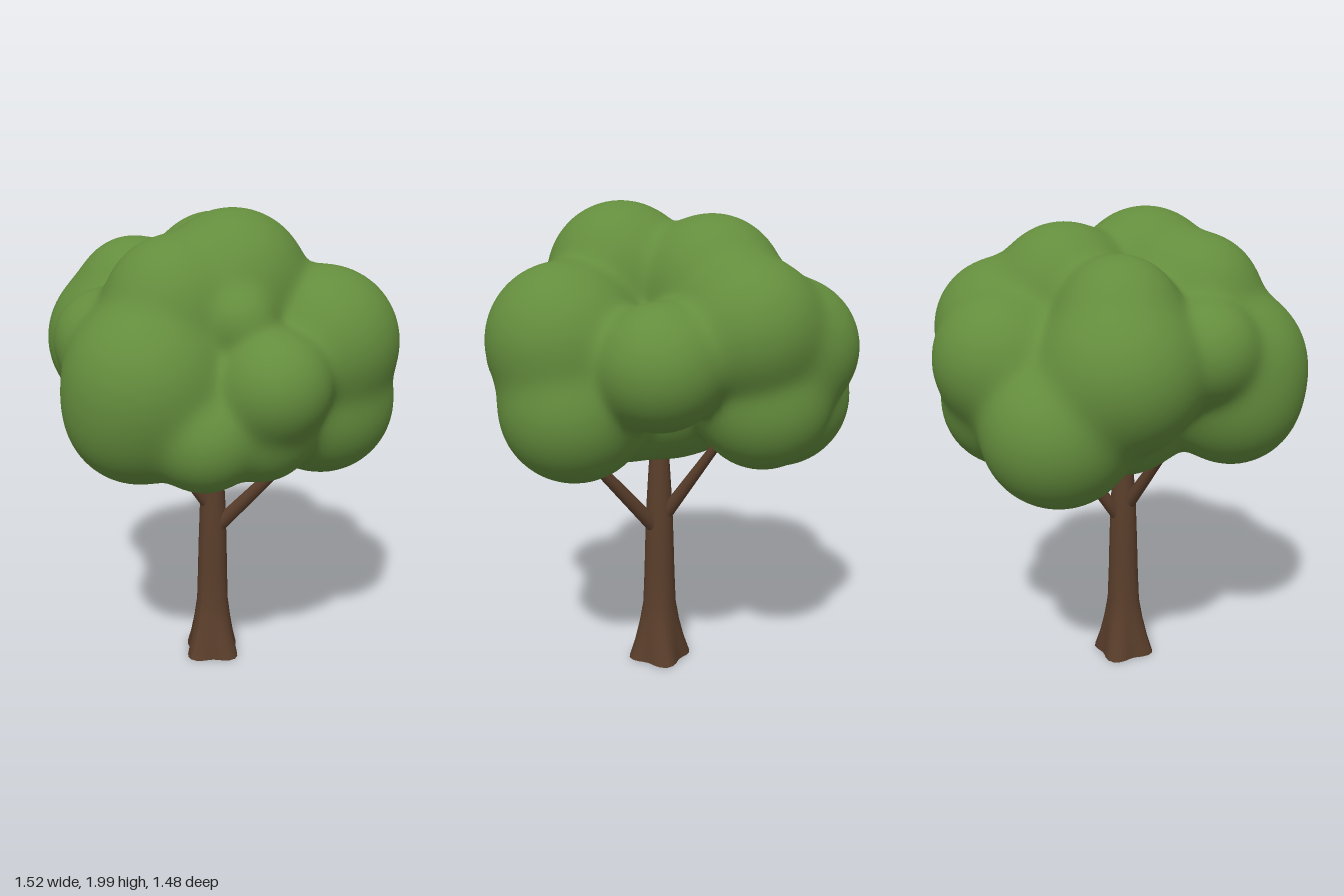
import * as THREE from 'three';
import { mergeVertices } from 'three/addons/utils/BufferGeometryUtils.js';

// Leaf clumps: x, y, z, radius
const CLUMPS = [
  // core and underside
  [0, 1.27, 0, 0.345],
  [-0.16, 1.19, 0.04, 0.24],
  [0.2, 1.18, -0.06, 0.24],
  // front
  [0.1, 1.37, 0.405, 0.325],
  [0.07, 1.25, 0.43, 0.285],
  [0.1, 1.63, 0.26, 0.275],
  [-0.17, 1.48, 0.38, 0.205],
  [0.33, 1.17, 0.34, 0.205],
  // top
  [0.18, 1.695, 0.02, 0.3],
  [-0.13, 1.665, -0.22, 0.285],
  // left-hand side of the front
  [-0.37, 1.42, 0.1, 0.325],
  [-0.32, 1.62, 0.08, 0.235],
  [-0.455, 1.195, -0.12, 0.305],
  // right-hand side of the front
  [0.455, 1.475, -0.21, 0.305],
  [0.43, 1.22, -0.25, 0.295],
  [0.515, 1.37, 0.16, 0.215],
  [0.42, 1.19, 0.12, 0.215],
  [0.38, 1.6, 0.2, 0.13],
  // back
  [-0.2, 1.53, -0.46, 0.28],
  [0.15, 1.41, -0.5, 0.24],
  [-0.4, 1.44, -0.37, 0.275],
  [-0.28, 1.24, -0.42, 0.265],
].map(([x, y, z, r]) => ({ c: new THREE.Vector3(x, y, z), r }));

// Softly blended distance to all the clumps
function canopyDistance(p) {
  const k = 0.026;
  let sum = 0;
  for (const { c, r } of CLUMPS) sum += Math.exp(-(p.distanceTo(c) - r) / k);
  return -k * Math.log(sum + 1e-300);
}

// Shrink a fine ball inwards until it meets the blended clumps
function canopyGeometry() {
  let g = new THREE.IcosahedronGeometry(1, 38);
  g.deleteAttribute('uv');
  g.deleteAttribute('normal');
  g = mergeVertices(g, 1e-5);
  const pos = g.attributes.position;
  const centre = new THREE.Vector3(0, 1.4, 0);
  const dir = new THREE.Vector3(), p = new THREE.Vector3();
  for (let i = 0; i < pos.count; i++) {
    dir.fromBufferAttribute(pos, i).normalize();
    let t = 1.1;
    for (let n = 0; n < 60; n++) {
      const d = canopyDistance(p.copy(centre).addScaledVector(dir, t));
      t = Math.max(t - d * 0.9, 0.1);
      if (Math.abs(d) < 0.0005) break;
    }
    p.copy(centre).addScaledVector(dir, t);
    pos.setXYZ(i, p.x, p.y, p.z);
  }
  g.computeVertexNormals();
  return g;
}

// Trunk flaring into four roots, open underneath
function trunkGeometry() {
  const profile = [
    [0.121, 0], [0.103, 0.08], [0.085, 0.17], [0.071, 0.26], [0.066, 0.4],
    [0.062, 0.55], [0.057, 0.7], [0.048, 0.85], [0.038, 1], [0.03, 1.15],
  ].map(([r, y]) => new THREE.Vector2(r, y));
  const g = new THREE.LatheGeometry(profile, 32);
  const pos = g.attributes.position;
  for (let i = 0; i < pos.count; i++) {
    const x = pos.getX(i), y = pos.getY(i), z = pos.getZ(i);
    const s = 1 + 0.15 * Math.exp(-y * 7) * Math.cos(4 * Math.atan2(z, x));
    pos.setXYZ(i, x * s, y, z * s);
  }
  g.computeVertexNormals();
  return g;
}

// Tapered branch between two points
function branchGeometry(from, to, r0, r1) {
  const a = new THREE.Vector3(...from), b = new THREE.Vector3(...to);
  const d = b.clone().sub(a);
  const g = new THREE.CylinderGeometry(r1, r0, d.length(), 12);
  g.applyQuaternion(new THREE.Quaternion().setFromUnitVectors(
    new THREE.Vector3(0, 1, 0), d.clone().normalize()));
  g.translate(...a.add(b).multiplyScalar(0.5).toArray());
  return g;
}

export function createModel() {
  const leaves = new THREE.MeshStandardMaterial({ color: 0x648d3d });
  leaves.name = 'leaf green';
  const bark = new THREE.MeshStandardMaterial({ color: 0x5a3e2b, side: THREE.DoubleSide });
  bark.name = 'bark brown';

  const tree = new THREE.Group();
  tree.name = 'tree';
  const add = (name, geometry, material) => {
    const mesh = new THREE.Mesh(geometry, material);
    mesh.name = name;
    tree.add(mesh);
    return mesh;
  };

  add('canopy', canopyGeometry(), leaves);
  add('trunk', trunkGeometry(), bark).position.set(0.035, 0, -0.03);

  // Branches reaching into the canopy
  add('leftBranch', branchGeometry([0.06, 0.62, -0.04], [0.42, 1.05, -0.17], 0.033, 0.02), bark);
  add('frontBranch', branchGeometry([0.03, 0.72, -0.01], [-0.06, 1.04, 0.2], 0.03, 0.02), bark);
  add('backBranch', branchGeometry([0.01, 0.68, -0.05], [-0.18, 1.05, -0.23], 0.03, 0.018), bark);
  return tree;
}
